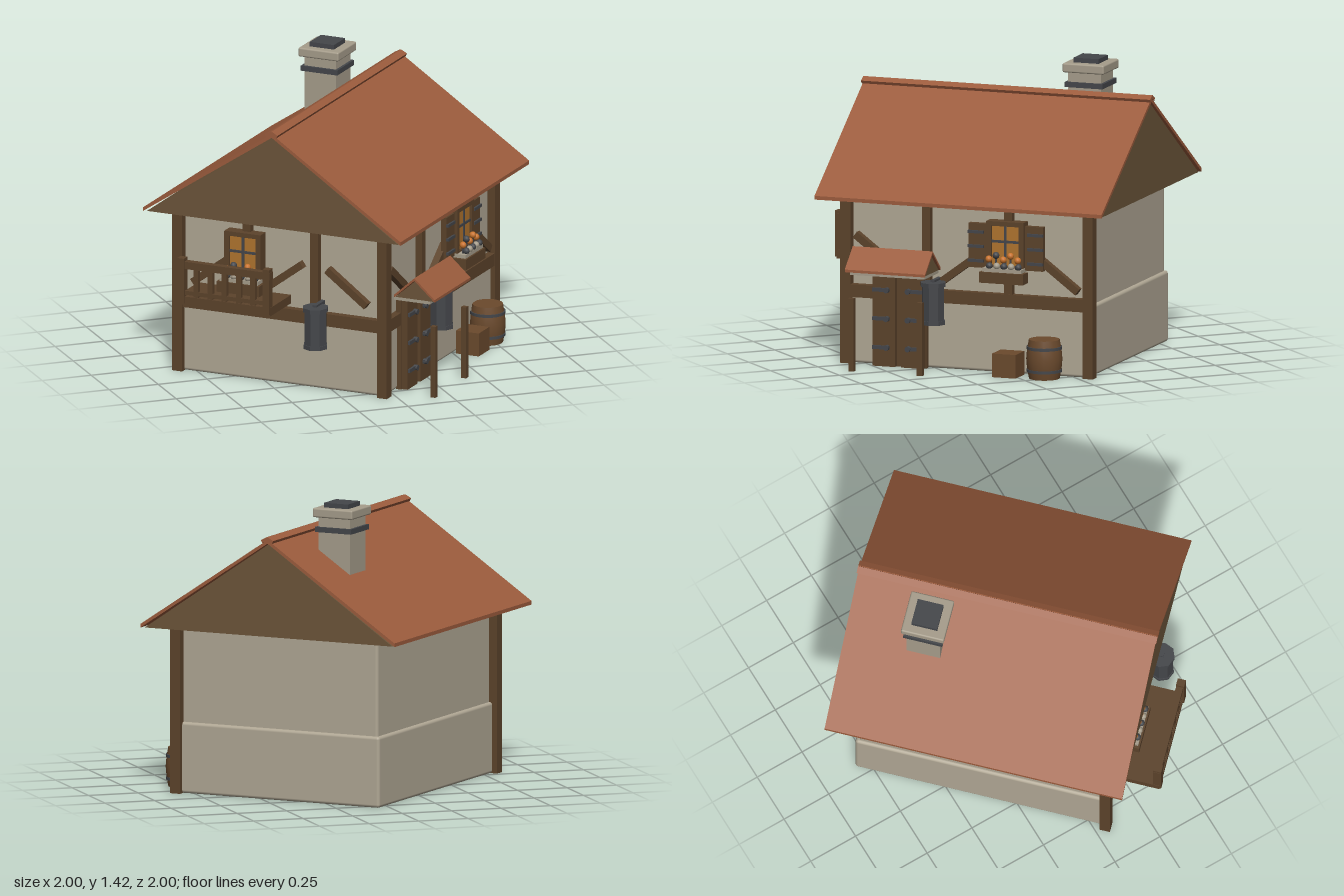
import * as THREE from 'three';
import { RoundedBoxGeometry } from 'three/addons/geometries/RoundedBoxGeometry.js';

const paint = (name, color) => Object.assign(new THREE.MeshStandardMaterial({ color }), { name });

export function createModel() {
  const plaster = paint('plaster', 0xb0a794);
  const stone = paint('stone', 0xa69d8b);
  const timber = paint('timber', 0x5c432b);
  const gableWood = paint('gable wood', 0x6c553a);
  const tile = paint('roof tile', 0x9c5c3d);
  const iron = paint('iron', 0x44464a);
  const cask = paint('cask wood', 0x6b4a2d);
  const amber = paint('amber glass', 0xb0742e);
  const bloom = paint('orange blossom', 0xc9732c);

  const add = (parent, name, geo, mat, x = 0, y = 0, z = 0) => {
    const m = new THREE.Mesh(geo, mat);
    m.name = name;
    m.position.set(x, y, z);
    parent.add(m);
    return m;
  };
  const box = (parent, name, mat, w, h, d, x, y, z) =>
    add(parent, name, new THREE.BoxGeometry(w, h, d), mat, x, y, z);
  const group = (parent, name) => {
    const g = new THREE.Group();
    g.name = name;
    parent.add(g);
    return g;
  };
  // A profile in the z-y plane, extruded along x and centred
  const prism = (parent, name, mat, points, length, x = 0, z = 0) => {
    const shape = new THREE.Shape(points.map(p => new THREE.Vector2(p[0], p[1])));
    const geo = new THREE.ExtrudeGeometry(shape, { depth: length, bevelEnabled: false });
    geo.translate(0, 0, -length / 2).rotateY(Math.PI / 2);
    return add(parent, name, geo, mat, x, 0, z);
  };
  const gabledRoof = (parent, name, half, eave, ridge, t, length, x, z) => {
    prism(parent, name, tile, [[-half, eave], [0, ridge], [half, eave],
      [half, eave + t], [0, ridge + t], [-half, eave + t]], length, x, z);
    prism(parent, name + 'Gables', gableWood,
      [[-half * 0.975, eave], [half * 0.975, eave], [0, ridge - 0.005]], length - 0.02, x, z);
  };

  const root = group(new THREE.Group(), 'house');
  const A = 0.62, B = 0.54;

  // Walls
  add(root, 'lowerWall', new RoundedBoxGeometry(2 * A, 0.345, 2 * B, 2, 0.015), plaster, 0, 0.1725, 0);
  add(root, 'upperWall', new RoundedBoxGeometry(2 * A - 0.03, 0.51, 2 * B - 0.03, 2, 0.015), plaster, 0, 0.585, 0);

  // Corner posts
  for (const [sx, sz] of [[-1, 1], [1, 1], [-1, -1]])
    box(root, 'cornerPost', timber, 0.052, 0.825, 0.052, sx * A, 0.4125, sz * B);

  // Main roof
  gabledRoof(root, 'roof', 0.68, 0.808, 1.262, 0.018, 1.47, 0, 0);
  for (const s of [-1, 1]) {
    const cap = box(root, 'ridgeCap', tile, 1.48, 0.016, 0.035, 0, 1.279, s * 0.014);
    cap.rotation.x = s * 0.5;
  }

  // Chimney
  const chimney = group(root, 'chimney');
  chimney.position.set(0.346, 0, -0.205);
  box(chimney, 'chimneyShaft', stone, 0.167, 0.32, 0.167, 0, 1.2, 0);
  box(chimney, 'chimneyBand', iron, 0.193, 0.025, 0.193, 0, 1.298, 0);
  add(chimney, 'chimneyCap', new RoundedBoxGeometry(0.212, 0.045, 0.212, 2, 0.008), stone, 0, 1.38, 0);
  box(chimney, 'chimneyFlue', iron, 0.128, 0.03, 0.128, 0, 1.41, 0);

  // Faces: local x runs along the wall, +z points outward
  const longFace = group(root, 'longFace');
  const endFace = group(root, 'endFace');
  endFace.rotation.y = -Math.PI / 2;

  const timberFrame = (face, half, depth, stud, braces) => {
    box(face, 'middleBeam', timber, 2 * half, 0.062, 0.045, 0, 0.354, depth);
    box(face, 'topBeam', timber, 2 * half, 0.03, 0.04, 0, 0.82, depth);
    for (const s of [-1, 1]) box(face, 'stud', timber, 0.042, 0.44, 0.045, s * stud, 0.6, depth - 0.003);
    for (const [x, y, dir] of braces)
      box(face, 'brace', timber, 0.26, 0.036, 0.04, x, y, depth).rotation.z = dir * 0.64;
  };
  timberFrame(longFace, A, B, 0.21, [[-0.47, 0.55, -1], [-0.04, 0.495, 1], [0.46, 0.495, -1]]);
  timberFrame(endFace, B, A, 0.178, [[0.008, 0.535, 1], [0.348, 0.525, -1], [-0.36, 0.53, 1]]);

  // Windows with flower boxes, optionally with shutters
  const flowerGeo = new THREE.SphereGeometry(0.017, 10, 8);
  const windowUnit = (face, x, depth, shutters) => {
    const w = group(face, 'window');
    w.position.set(x, 0, depth);
    box(w, 'windowBacking', timber, 0.15, 0.2, 0.035, 0, 0.625, 0.015);
    for (const s of [-1, 1]) {
      box(w, 'windowJamb', timber, 0.025, 0.235, 0.06, s * 0.083, 0.623, 0.02);
      box(w, 'windowRail', timber, 0.19, 0.022, 0.06, 0, 0.625 + s * 0.107, 0.02);
    }
    box(w, 'windowPane', amber, 0.143, 0.195, 0.006, 0, 0.625, 0.035);
    box(w, 'mullion', iron, 0.012, 0.195, 0.008, 0, 0.625, 0.04);
    box(w, 'transom', iron, 0.143, 0.012, 0.008, 0, 0.645, 0.04);
    box(w, 'windowSill', stone, 0.2, 0.018, 0.08, 0, 0.512, 0.055);
    box(w, 'flowerBox', timber, 0.225, 0.052, 0.07, 0, 0.476, 0.068);
    for (let i = 0; i < 5; i++) {
      const fx = (i - 2) * 0.037, fy = 0.562 + (i % 2) * 0.02;
      box(w, 'flowerStem', iron, 0.008, fy - 0.51, 0.008, fx, (fy + 0.51) / 2, 0.07);
      add(w, 'blossom', flowerGeo, i === 1 ? iron : bloom, fx, fy, 0.07);
      add(w, 'bud', flowerGeo, i % 2 ? stone : iron, fx + 0.008, 0.532, 0.083);
    }
    if (!shutters) return;
    for (const s of [-1, 1]) {
      box(w, 'shutter', timber, 0.092, 0.215, 0.03, s * 0.145, 0.618, 0.022);
      for (const y of [0.545, 0.615, 0.685])
        box(w, 'shutterStrap', iron, 0.08, 0.014, 0.012, s * 0.152, y, 0.041);
    }
  };
  windowUnit(longFace, 0.205, B, true);
  windowUnit(endFace, -0.185, A, false);

  // Balcony
  const balcony = group(endFace, 'balcony');
  balcony.position.x = -0.195;
  box(balcony, 'balconyFloor', timber, 0.49, 0.042, 0.24, 0, 0.429, 0.74);
  box(balcony, 'handRail', timber, 0.49, 0.036, 0.034, 0, 0.607, 0.845);
  box(balcony, 'lowerRail', timber, 0.47, 0.02, 0.022, 0, 0.468, 0.845);
  for (const s of [-1, 1])
    box(balcony, 'railPost', timber, 0.036, 0.225, 0.04, s * 0.225, 0.528, 0.847);
  for (let i = -2; i <= 2; i++)
    box(balcony, 'baluster', timber, 0.026, 0.16, 0.022, i * 0.075, 0.52, 0.845);

  // Hanging lanterns
  const lantern = (face, x, depth) => {
    const l = group(face, 'lantern');
    l.position.set(x, 0, depth);
    const drum = (name, r, h, y) => {
      const geo = new THREE.CylinderGeometry(r, r, h, 8).toNonIndexed();
      geo.computeVertexNormals();
      add(l, name, geo, iron, 0, y, 0);
    };
    drum('lanternBody', 0.056, 0.18, 0.333);
    drum('lanternTop', 0.064, 0.02, 0.425);
    drum('lanternBase', 0.06, 0.02, 0.24);
    box(l, 'lanternBracket', iron, 0.02, 0.018, 0.1, 0, 0.436, -0.04);
  };
  lantern(longFace, -0.148, B + 0.085);
  lantern(endFace, 0.217, A + 0.085);

  // Double door with iron straps
  const door = group(longFace, 'door');
  door.position.set(-0.34, 0, B);
  box(door, 'doorFrame', timber, 0.27, 0.47, 0.03, 0, 0.235, 0.01);
  for (const s of [-1, 1]) {
    box(door, 'doorLeaf', timber, 0.115, 0.47, 0.05, s * 0.073, 0.237, 0.03);
    for (const y of [0.095, 0.235, 0.375]) {
      box(door, 'doorStrap', iron, 0.085, 0.018, 0.012, s * 0.085, y, 0.06);
      const stud = add(door, 'strapStud', new THREE.CylinderGeometry(0.014, 0.014, 0.022, 8), iron, s * 0.055, y, 0.065);
      stud.rotation.x = Math.PI / 2;
    }
  }

  // Door canopy and its front posts
  const canopy = group(longFace, 'canopy');
  gabledRoof(canopy, 'canopyRoof', 0.107, 0.482, 0.578, 0.013, 0.41, -0.34, 0.665);
  box(canopy, 'canopySlab', stone, 0.38, 0.018, 0.19, -0.34, 0.474, 0.645);
  for (const s of [-1, 1])
    box(canopy, 'canopyPost', timber, 0.027, 0.355, 0.027, -0.34 + s * 0.175, 0.1775, 0.755);

  // Crate and barrel
  box(longFace, 'crate', cask, 0.12, 0.115, 0.12, 0.232, 0.0575, 0.614);
  const barrel = group(longFace, 'barrel');
  barrel.position.set(0.415, 0, 0.609);
  const stave = [[0, 0], [0.074, 0]].concat([[0.074, 0], [0.083, 0.05], [0.087, 0.095], [0.083, 0.14], [0.074, 0.19]],
    [[0.074, 0.19], [0, 0.19]]).map(p => new THREE.Vector2(p[0], p[1]));
  add(barrel, 'barrelBody', new THREE.LatheGeometry(stave, 20), cask);
  for (const y of [0.04, 0.15])
    add(barrel, 'barrelHoop', new THREE.CylinderGeometry(0.086, 0.086, 0.014, 20), iron, 0, y, 0);

  // The house stands turned by an eighth
  root.rotation.y = Math.PI / 4;
  return root.parent;
}
